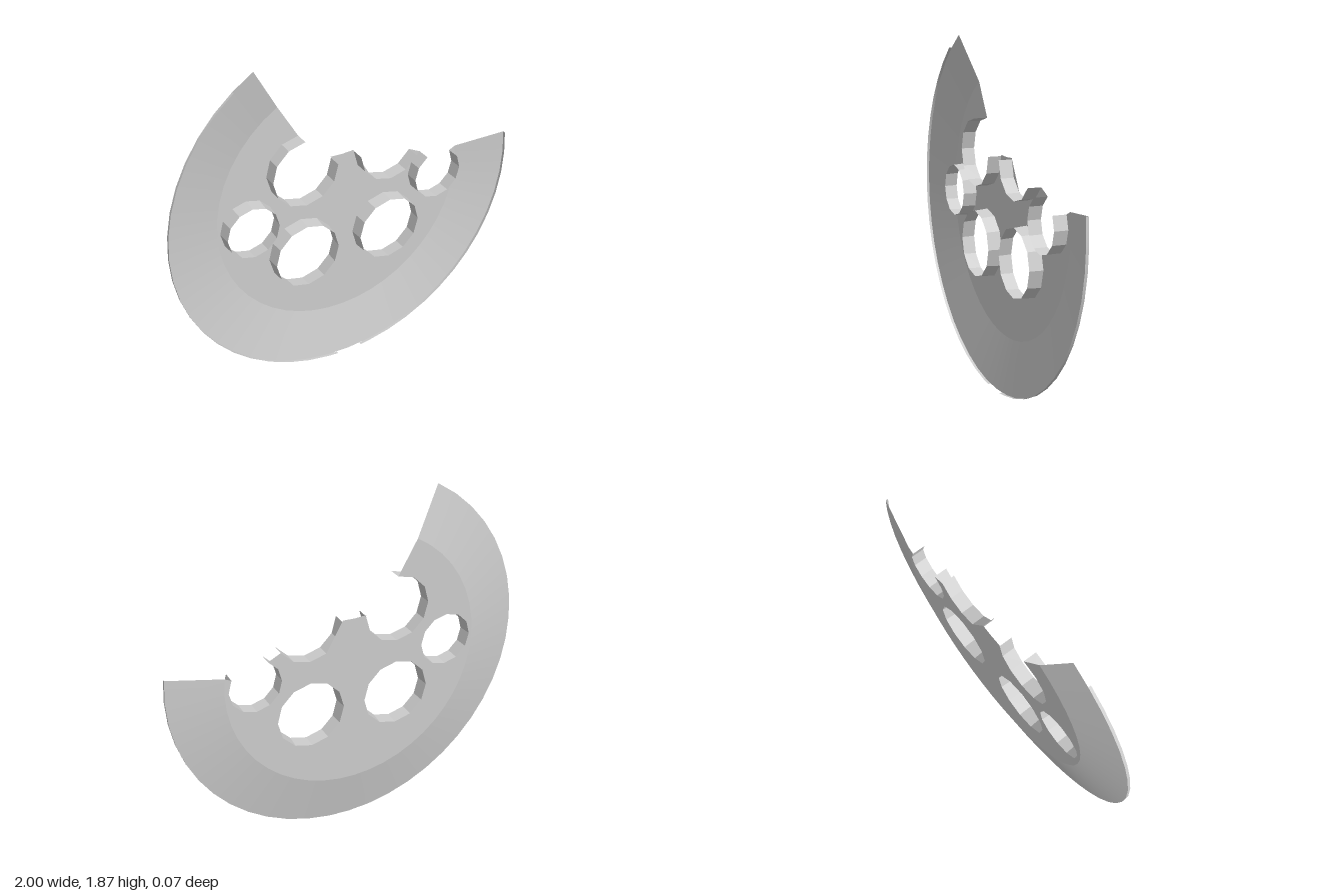
import * as THREE from 'three';

const BACK = -0.037, EDGE = 0.022, FRONT = 0.037; // depths of plate, rim and flange tips
const CY = 1, INNER = 0.715, OUTER = 1;
const rad = THREE.MathUtils.degToRad;

// Points on an arc, angles in degrees
function arc(cx, cy, r, angles) {
  return angles.map(a => new THREE.Vector2(cx + r * Math.cos(rad(a)), cy + r * Math.sin(rad(a))));
}

function steps(from, to, step) {
  const list = [];
  for (let a = from; a < to - 0.01; a += step) list.push(a);
  return [...list, to];
}

// Ribbon of quads between two matching rows of points at two depths
function ribbon(rowA, zA, rowB, zB) {
  const pos = [], index = [];
  rowA.forEach((p, i) => {
    pos.push(p.x, p.y, zA, rowB[i].x, rowB[i].y, zB);
    if (i > 0) {
      const k = 2 * i;
      index.push(k - 2, k - 1, k, k, k - 1, k + 1);
    }
  });
  const geo = new THREE.BufferGeometry();
  geo.setAttribute('position', new THREE.Float32BufferAttribute(pos, 3));
  geo.setIndex(index);
  geo.computeVertexNormals();
  return geo;
}

export function createModel() {
  const group = new THREE.Group();
  const smooth = new THREE.MeshStandardMaterial({ color: 0xcccccc, side: THREE.DoubleSide });
  const faceted = new THREE.MeshStandardMaterial({ color: 0xcccccc, side: THREE.DoubleSide, flatShading: true });
  const add = (name, geo, mat) => {
    const mesh = new THREE.Mesh(geo, mat);
    mesh.name = name;
    group.add(mesh);
  };

  // Open sweep of the dish, from the upper left round the bottom to the right
  const sweep = steps(120, 367.2, 7.5);
  const innerRow = arc(0, CY, INNER, sweep);
  const outerRow = arc(0, CY, OUTER, sweep);

  // Scalloped cut-outs along the top edge and full round holes
  const notches = [
    ['leftScallop', -0.25, 1.25, 0.183, 90, 360],
    ['rightScallop', 0.25, 1.25, 0.183, 180, 330],
    ['sideScallop', 0.55, 1, 0.143, 120, 390],
  ];
  const holes = [
    ['lowerHoleRight', -0.25, 0.75, 0.183],
    ['lowerHoleLeft', 0.25, 0.75, 0.183],
    ['sideHole', -0.55, 1, 0.143],
  ];
  const flare = 0.006;
  const notchRow = ([, x, y, r, a, b], extra = 0) => arc(x, y, r + extra, steps(a, b, 30));
  const holeRow = ([, x, y, r], extra = 0) => arc(x, y, r + extra, steps(0, 360, 30));

  // Flat centre plate; the gap between the two upper scallops leaves the tab
  const [left, right, side] = notches.map(n => notchRow(n));
  const tabTop = [new THREE.Vector2(-0.07, 1.257), new THREE.Vector2(0.065, 1.257)];
  const outline = [...innerRow, ...side.reverse(), ...right.reverse(), ...tabTop, ...left.reverse()];
  const plate = new THREE.Shape(outline);
  holes.forEach(h => plate.holes.push(new THREE.Path(holeRow(h, flare).slice(0, -1))));
  add('centrePlate', new THREE.ShapeGeometry(plate).translate(0, 0, BACK), smooth);

  // Sloping outer band
  add('slopingBand', ribbon(innerRow, BACK, outerRow, EDGE), smooth);

  // Shallow rim lip in two runs, leaving a gap at the very bottom
  [['rimLipRight', 127.5, 265.7], ['rimLipLeft', 274.3, 367.2]].forEach(([name, a, b]) => {
    const angles = [a, ...sweep.filter(s => s > a + 0.1 && s < b - 0.1), b];
    const row = arc(0, CY, OUTER, angles);
    add(name, ribbon(row, EDGE, row, FRONT), smooth);
  });

  // Forward flanges around every hole and scallop
  holes.forEach(h => add(h[0] + 'Flange', ribbon(holeRow(h, flare), BACK, holeRow(h), FRONT), faceted));
  notches.forEach(n => add(n[0] + 'Flange', ribbon(notchRow(n), BACK, notchRow(n), FRONT), faceted));

  return group;
}
